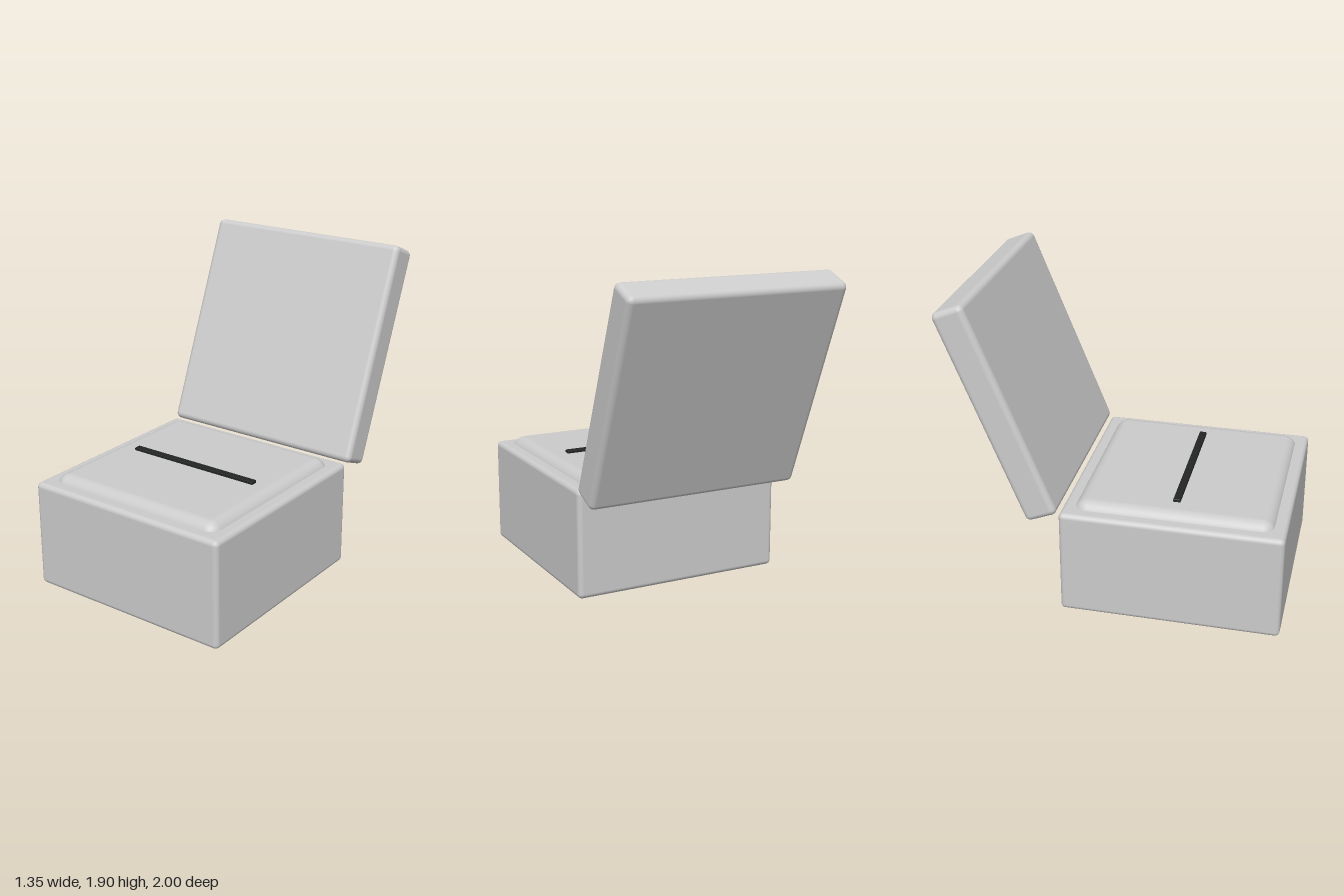
import * as THREE from 'three';
import { RoundedBoxGeometry } from 'three/addons/geometries/RoundedBoxGeometry.js';

const grey = new THREE.MeshStandardMaterial({ color: 0xcccccc });
const dark = new THREE.MeshStandardMaterial({ color: 0x222524 });

function roundedBox(name, [w, h, d], radius, [x, y, z], material = grey) {
  const mesh = new THREE.Mesh(new RoundedBoxGeometry(w, h, d, 5, radius), material);
  mesh.name = name;
  mesh.position.set(x, y, z);
  return mesh;
}

export function createModel() {
  const model = new THREE.Group();
  model.name = 'openJewelleryBox';

  // Box body standing on the ground
  model.add(roundedBox('base', [1.32, 0.66, 1.32], 0.03, [0, 0.33, 0.34]));

  // Padded insert, mostly sunk into the body
  model.add(roundedBox('cushion', [1.185, 0.17, 1.185], 0.08, [0, 0.62, 0.34]));

  // Dark slot strip across the cushion
  model.add(roundedBox('slot', [0.88, 0.036, 0.044], 0.006, [0, 0.704, 0.34], dark));

  // Lid, leaning back behind the body
  const lid = roundedBox('lid', [1.346, 1.35, 0.2], 0.035, [0, 1.25, -0.667]);
  lid.rotation.x = THREE.MathUtils.degToRad(-22);
  model.add(lid);

  return model;
}
